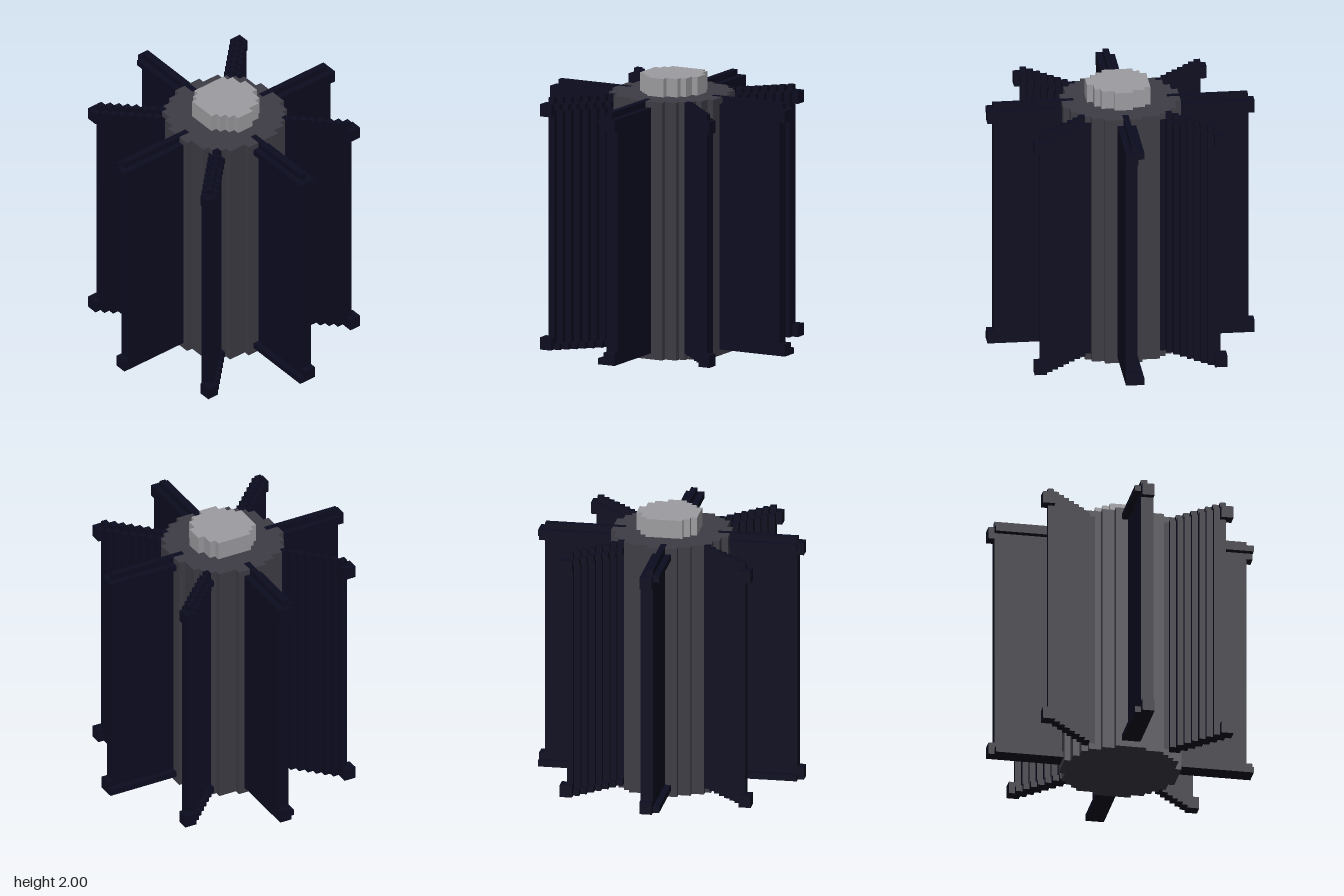
import * as THREE from 'three';
import { mergeGeometries } from 'three/addons/utils/BufferGeometryUtils.js';

const V = 2 / 45; // edge of one block

const material = (name, color) => {
  const m = new THREE.MeshStandardMaterial({ color });
  m.name = name;
  return m;
};

// Boxes for a set of [x, z] cells, joined into runs along x, from row y0 up to row y1
function slab(cells, y0, y1) {
  const set = new Set(cells.map(([x, z]) => `${x},${z}`));
  const boxes = [];
  for (let z = -22; z <= 22; z++) {
    for (let x = -22; x <= 22; x++) {
      if (!set.has(`${x},${z}`)) continue;
      const first = x;
      while (set.has(`${x + 1},${z}`)) x++;
      const box = new THREE.BoxGeometry((x - first + 1) * V, (y1 - y0) * V, V);
      box.translate((first + x) / 2 * V, (y0 + y1) / 2 * V, z * V);
      boxes.push(box);
    }
  }
  return boxes;
}

function part(name, boxes, mat) {
  const mesh = new THREE.Mesh(mergeGeometries(boxes), mat);
  mesh.name = name;
  return mesh;
}

// Cells of a fin running in direction (dx, dz), with sideways offsets p
function finCells(dx, dz, start, end, offsets) {
  const cells = [];
  for (let a = start; a <= end; a++) {
    for (const p of offsets) {
      if (dz === 0) cells.push([dx * a, p]);
      else if (dx === 0) cells.push([p, dz * a]);
      else if (a + Math.abs(p) <= end) cells.push([dx * (a + Math.max(p, 0)), dz * (a + Math.max(-p, 0))]);
    }
  }
  return cells;
}

// Round core section, very slightly off centre
function discCells() {
  const cells = [];
  for (let x = -9; x <= 9; x++) {
    for (let z = -9; z <= 9; z++) {
      if ((x - 0.05) ** 2 + (z - 0.05) ** 2 <= 89.35) cells.push([x, z]);
    }
  }
  return cells;
}

const without = (cells, removed) => {
  const keys = new Set(removed.map(String));
  return cells.filter(c => !keys.has(String(c)));
};

export function createModel() {
  const group = new THREE.Group();
  const coreGrey = material('core grey', 0x3e3c45);
  const capGrey = material('cap grey', 0x9d9da1);
  const finNavy = material('fin navy', 0x0c0c20);

  // Eight fins: thin web, wide flanges near both ends, top ridge and short tips
  const webs = [], ridges = [];
  const directions = [[0, 1], [1, 1], [1, 0], [1, -1], [0, -1], [-1, -1], [-1, 0], [-1, 1]];
  directions.forEach(([dx, dz], i) => {
    const diagonal = dx !== 0 && dz !== 0;
    const end = diagonal ? 15 : 21;
    const run = (from, to, offsets) => finCells(dx, dz, from, to, offsets);
    const web = diagonal
      ? run(6, end - 1, [0, 1])
      : [...run(8, end - 1, [0]), ...run(10, end - 1, [1])];
    const tip = run(end - 1, end, diagonal ? [-1, 0, 1] : [0, 1]);
    const ridge = run(diagonal ? 7 : 8, end - 1, [0]);
    const narrow = diagonal && dx * dz > 0;
    const shortWing = !diagonal && dx + dz < 0;
    const flange = [
      ...run(diagonal ? 7 : 10, end, narrow ? [0, 1] : shortWing ? [0, 1] : [-1, 0, 1]),
      ...(shortWing ? run(10, end - 1, [-1]) : []),
    ];
    webs.push(...web);
    ridges.push(...ridge);
    group.add(part(`fin${i + 1}`, [
      ...slab(web, 1, 41),
      ...slab(tip, 1, 3), ...slab(tip, 39, 41),
      ...slab(flange, 1, 2), ...slab(flange, 40, 41),
      ...slab(ridge, 41, 42),
    ], finNavy));
  });

  // Core column, slotted where the fins enter, on a full base disc
  const disc = discCells();
  group.add(part('baseDisc', slab(disc, 0, 1), coreGrey));
  group.add(part('coreColumn', slab(without(disc, webs), 1, 41), coreGrey));
  group.add(part('coreTop', slab(without(disc, ridges), 41, 42), coreGrey));

  // Cap: first and last x cell of each row, from z = -4 to 5
  const capRows = [[-2, 3], [-3, 4], [-4, 4], [-4, 5], [-4, 5], [-4, 5], [-4, 4], [-3, 4], [-2, 3], [-1, 1]];
  const cap = [];
  capRows.forEach(([a, b], i) => {
    for (let x = a; x <= b; x++) cap.push([x, i - 4]);
  });
  group.add(part('cap', slab(cap, 42, 45), capGrey));

  return group;
}
